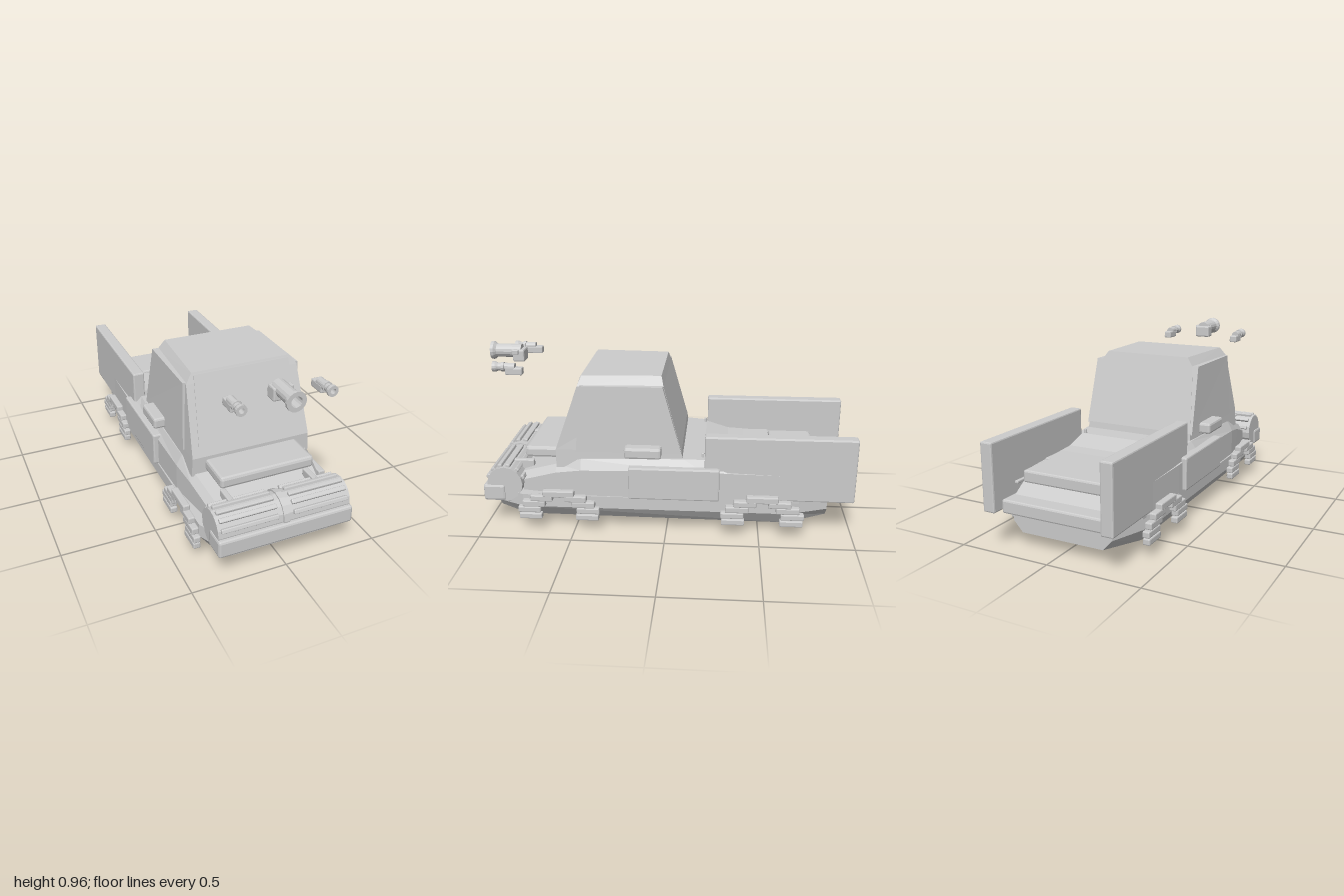
import * as THREE from 'three';
import { RoundedBoxGeometry } from 'three/addons/geometries/RoundedBoxGeometry.js';

const mat = new THREE.MeshStandardMaterial({ color: 0xcccccc, flatShading: true, side: THREE.DoubleSide });

export function createModel() {
  const root = new THREE.Group();

  const add = (name, geo, parent = root) => {
    const m = new THREE.Mesh(geo, mat);
    m.name = name;
    parent.add(m);
    return m;
  };

  // Bevelled box given by its min and max on each axis
  const box = (name, x0, x1, y0, y1, z0, z1, r = 0.008, parent = root) => {
    const m = add(name, new RoundedBoxGeometry(x1 - x0, y1 - y0, z1 - z0, 1, r), parent);
    m.position.set((x0 + x1) / 2, (y0 + y1) / 2, (z0 + z1) / 2);
    return m;
  };

  // Same box on both sides of the model
  const pair = (name, x0, x1, ...rest) => {
    box(name + 'Left', x0, x1, ...rest);
    box(name + 'Right', -x1, -x0, ...rest);
  };

  // Closed skin over a row of rings with equal point counts
  const loft = (name, rings) => {
    const n = rings[0].length, pos = rings.flat(2), idx = [];
    for (let i = 0; i < rings.length - 1; i++) {
      for (let j = 0; j < n; j++) {
        const a = i * n + j, b = i * n + (j + 1) % n;
        idx.push(a, a + n, b, b, a + n, b + n);
      }
    }
    const last = (rings.length - 1) * n;
    for (let j = 1; j < n - 1; j++) {
      idx.push(0, j, j + 1, last, last + j + 1, last + j);
    }
    const g = new THREE.BufferGeometry();
    g.setAttribute('position', new THREE.Float32BufferAttribute(pos, 3));
    g.setIndex(idx);
    const flat = g.toNonIndexed();
    flat.computeVertexNormals();
    return add(name, flat);
  };

  // Lower hull: z, bottom half width, bottom y, side half width, side y
  loft('hull', [
    [0.93, 0.27, 0.09, 0.30, 0.13],
    [0.78, 0.315, 0.06, 0.37, 0.13],
    [-0.65, 0.32, 0.055, 0.37, 0.13],
    [-0.87, 0.23, 0.07, 0.28, 0.125],
  ].map(([z, wb, yb, w, y]) => [
    [wb, yb, z], [w, y, z], [w, 0.2, z], [-w, 0.2, z], [-w, y, z], [-wb, yb, z],
  ]));

  // Upper body: z, side half width, shoulder y, top half width, top y
  loft('body', [
    [0.79, 0.31, 0.26, 0.28, 0.30],
    [0.6, 0.34, 0.32, 0.31, 0.36],
    [0.46, 0.36, 0.345, 0.33, 0.40],
    [-0.09, 0.37, 0.36, 0.33, 0.415],
    [-0.2, 0.37, 0.36, 0.32, 0.41],
    [-0.33, 0.37, 0.355, 0.30, 0.37],
    [-0.68, 0.36, 0.345, 0.30, 0.35],
    [-0.71, 0.36, 0.31, 0.30, 0.32],
    [-0.86, 0.29, 0.21, 0.28, 0.25],
  ].map(([z, w, y, wt, yt]) => [
    [w, 0.19, z], [w, y, z], [wt, yt, z], [-wt, yt, z], [-w, y, z], [-w, 0.19, z],
  ]));

  // Cabin: y, front z, front half width, back z, back half width
  loft('cabin', [
    [0.35, 0.595, 0.33, -0.095, 0.325],
    [0.45, 0.595, 0.325, -0.08, 0.32],
    [0.80, 0.47, 0.305, 0.017, 0.285],
    [0.85, 0.45, 0.27, 0.03, 0.25],
  ].map(([y, zf, wf, zb, wb]) => [
    [wb, y, zb], [wf, y, zf], [-wf, y, zf], [-wb, y, zb],
  ]));

  // Windscreen, a thin raised pane
  const pane = (d) => [
    [-0.285, 0.49, 0.577 + d], [0.285, 0.49, 0.577 + d],
    [0.26, 0.84, 0.452 + d], [-0.26, 0.84, 0.452 + d],
  ];
  loft('windscreen', [pane(0.007), pane(-0.005)]);

  // Raised side window panels
  for (const s of [1, -1]) {
    const side = (d) => [
      [0.322 + d, 0.445, -0.08], [0.31 + d, 0.805, 0.02],
      [0.31 + d, 0.805, 0.455], [0.325 + d, 0.445, 0.485],
    ].map(([x, y, z]) => [s * x, y, z]);
    const rings = [side(0.008), side(-0.03)];
    loft(s > 0 ? 'sideWindowLeft' : 'sideWindowRight', s > 0 ? rings : rings.reverse());
  }

  // Nose block, door panels, wing mirrors and cargo boards
  box('noseBlock', -0.255, 0.255, 0.37, 0.432, 0.56, 0.78, 0.015);
  pair('doorPanel', 0.34, 0.392, 0.2, 0.38, -0.285, 0.2);
  pair('mirror', 0.3, 0.39, 0.43, 0.49, 0.025, 0.22, 0.012);
  pair('cargoBoard', 0.295, 0.362, 0.2, 0.555, -1, -0.205);
  pair('boardPin', 0.27, 0.285, 0.4, 0.435, -0.2, -0.185, 0.004);

  // Rear deck cover and ledge
  box('deckCover', -0.255, 0.255, 0.31, 0.375, -0.815, -0.57, 0.01);
  box('deckStep', -0.295, 0.295, 0.3, 0.365, -0.57, -0.33, 0.006);
  box('rearLedge', -0.297, 0.297, 0.183, 0.255, -0.94, -0.72, 0.01);
  pair('deckHinge', 0.255, 0.275, 0.315, 0.33, -0.86, -0.76, 0.004);

  // Front roller with ribs, bumper bar and centre strap
  const roller = add('frontRoller', new THREE.CylinderGeometry(0.097, 0.097, 0.71, 16));
  roller.rotation.z = Math.PI / 2;
  roller.position.set(0, 0.25, 0.88);
  box('bumperBar', -0.362, 0.362, 0.152, 0.245, 0.88, 1, 0.012);
  for (const deg of [22, 50, 75, 100, 130, 160]) {
    const a = THREE.MathUtils.degToRad(deg);
    for (const s of [1, -1]) {
      const rib = add('rollerRib', new RoundedBoxGeometry(0.3, 0.024, 0.026, 1, 0.005));
      rib.position.set(s * 0.19, 0.25 + 0.098 * Math.sin(a), 0.88 + 0.098 * Math.cos(a));
      rib.rotation.x = -a;
    }
  }
  const strap = add('rollerStrap', new THREE.CylinderGeometry(0.105, 0.105, 0.03, 16));
  strap.rotation.z = Math.PI / 2;
  strap.position.copy(roller.position);
  pair('rollerArm', 0.215, 0.245, 0.27, 0.35, 0.74, 0.86, 0.006);
  pair('bumperBracket', 0.305, 0.335, 0.14, 0.17, 0.85, 0.95, 0.005);

  // Stepped arches over the running gear: offset, half length, bottom, top
  const steps = [
    [0.155, 0.062, 0.07, 0.104], [0.16, 0.062, 0.108, 0.142],
    [0.135, 0.062, 0.142, 0.178], [0.092, 0.06, 0.175, 0.21], [0.03, 0.055, 0.2, 0.238],
  ];
  for (const zc of [0.58, -0.515]) {
    for (const [o, h, y0, y1] of steps) {
      for (const e of [1, -1]) {
        pair('archStep', 0.368, 0.406, y0, y1, zc + e * o - h, zc + e * o + h, 0.006);
      }
    }
  }

  // Underside plate and drain boss
  box('underPlate', -0.248, 0.248, 0.037, 0.078, -0.615, 0.68, 0.01);
  const boss = add('underBoss', new THREE.CylinderGeometry(0.075, 0.032, 0.035, 8));
  boss.position.set(0, 0.0175, 0.03);
  boss.scale.x = 0.68;

  // Lamps: a hollow flanged barrel on a block
  const lamp = (name, x, y, zFront, len, r, hole) => {
    const profile = [
      [0, -len], [r * 0.75, -len], [r * 0.75, -0.03], [r, -0.016], [r, 0],
      [hole, 0], [hole, -len * 0.5], [0, -len * 0.5],
    ].map(([a, b]) => new THREE.Vector2(a, b));
    const m = add(name, new THREE.LatheGeometry(profile, 16));
    m.rotation.x = Math.PI / 2;
    m.position.set(x, y, zFront);
  };
  lamp('centreLamp', 0, 0.907, 1, 0.17, 0.05, 0.028);
  box('centreLampBlock', -0.046, 0.046, 0.852, 0.92, 0.81, 0.875, 0.008);
  box('centreLampKnob', 0.03, 0.058, 0.893, 0.922, 0.84, 0.875, 0.005);
  for (const s of [1, -1]) {
    lamp('sideLamp', s * 0.23, 0.877, 0.93, 0.12, 0.028, 0.014);
    box('sideLampBlock', s * 0.23 - 0.022, s * 0.23 + 0.022, 0.836, 0.876, 0.77, 0.862, 0.006);
    const ring = add('sideLampRing', new THREE.CylinderGeometry(0.026, 0.026, 0.015, 12));
    ring.rotation.x = Math.PI / 2;
    ring.position.set(s * 0.23, 0.877, 0.875);
  }

  return root;
}
